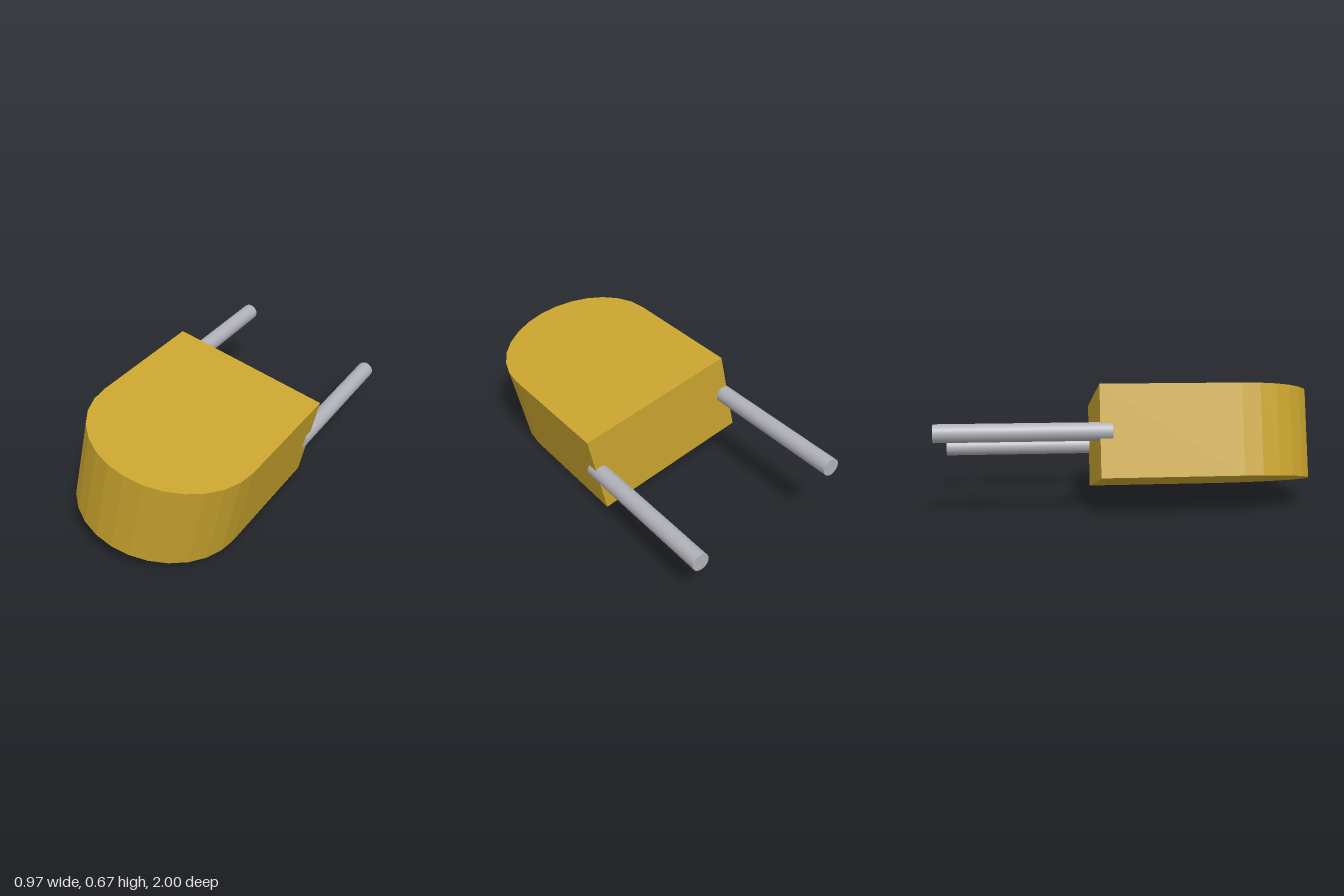
import * as THREE from 'three';

const gold = new THREE.MeshStandardMaterial({ name: 'gold', color: 0xc9a42e });
const steel = new THREE.MeshStandardMaterial({ name: 'steel', color: 0xb0b0b8 });

const HALF_WIDTH = 0.443, HEIGHT = 0.476;
const BACK = -0.173, ARC_START = 1 - HALF_WIDTH;

export function createModel() {
  const model = new THREE.Group();
  model.name = 'plug';

  // Block with a flat back and a faceted half-round front, 14 facets
  const outline = new THREE.Shape();
  outline.moveTo(-HALF_WIDTH, BACK);
  outline.lineTo(HALF_WIDTH, BACK);
  outline.lineTo(HALF_WIDTH, ARC_START);
  outline.absarc(0, ARC_START, HALF_WIDTH, 0, Math.PI, false);
  const bodyGeometry = new THREE.ExtrudeGeometry(outline, {
    depth: HEIGHT, bevelEnabled: false, curveSegments: 7,
  });
  bodyGeometry.rotateX(Math.PI / 2).translate(0, HEIGHT / 2, 0);
  const body = new THREE.Mesh(bodyGeometry, gold);
  body.name = 'body';
  model.add(body);

  // Two round pins, slightly breaking through the side walls
  const pinBack = -1, pinFront = -0.11;
  const pinGeometry = new THREE.CylinderGeometry(0.047, 0.047, pinFront - pinBack, 24);
  pinGeometry.rotateX(Math.PI / 2);
  for (const [side, name] of [[1, 'leftPin'], [-1, 'rightPin']]) {
    const pin = new THREE.Mesh(pinGeometry, steel);
    pin.name = name;
    pin.position.set(side * 0.416, 0, (pinFront + pinBack) / 2);
    model.add(pin);
  }

  // The whole plug is rolled so it rests on one lower edge
  model.rotation.z = -0.23;
  model.position.y = 0.333;

  const root = new THREE.Group();
  root.name = 'model';
  root.add(model);
  return root;
}
